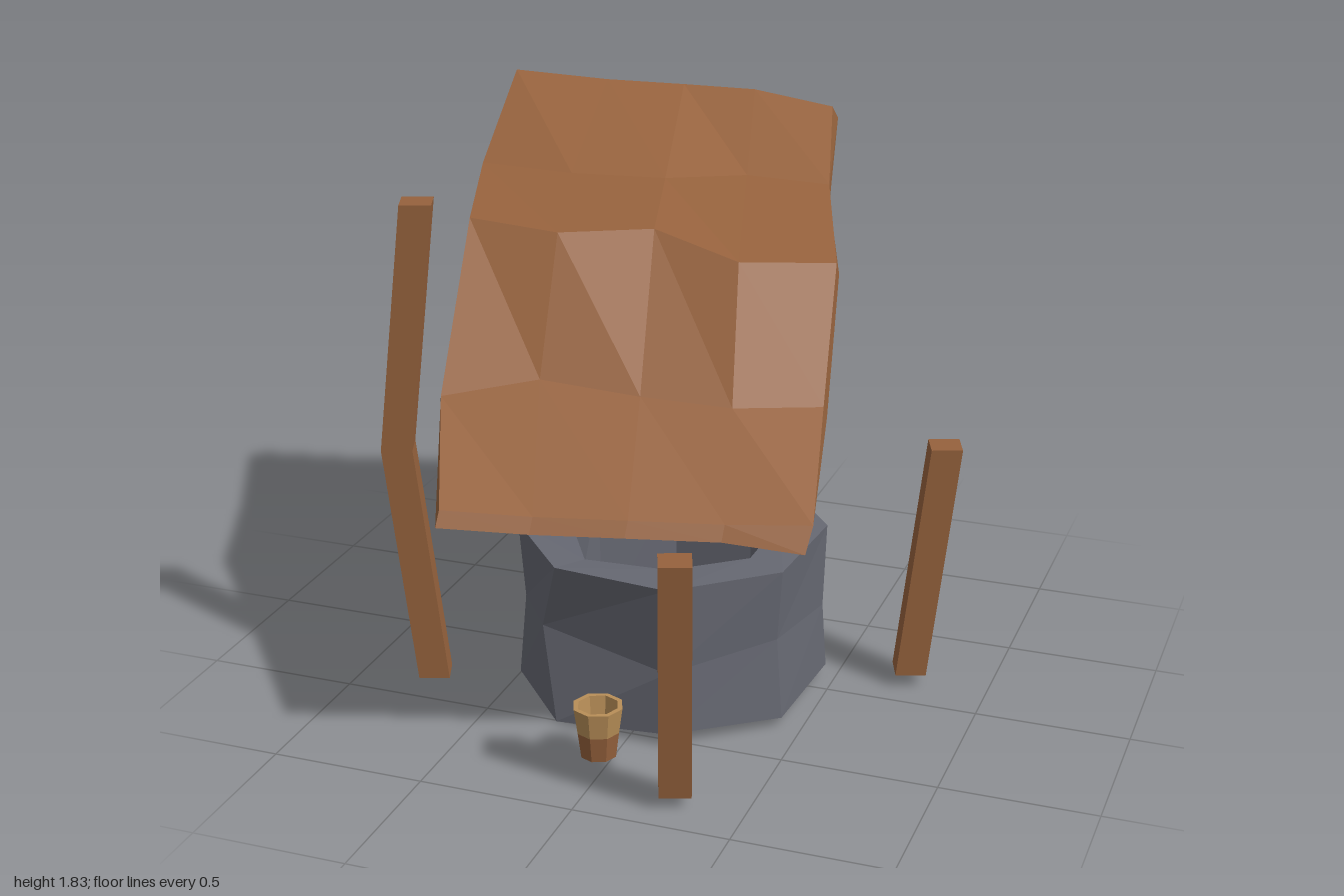
import * as THREE from 'three';

const wood = new THREE.MeshStandardMaterial({ color: 0x96623d });
wood.name = 'wood';
const paleWood = new THREE.MeshStandardMaterial({ color: 0xb98f58 });
paleWood.name = 'paleWood';
const stone = new THREE.MeshStandardMaterial({ color: 0x666872 });
stone.name = 'stone';

// Faceted copy of a geometry
function faceted(geo) {
  const g = geo.index ? geo.toNonIndexed() : geo;
  g.computeVertexNormals();
  return g;
}

function fromTriangles(points) {
  const g = new THREE.BufferGeometry();
  g.setAttribute('position', new THREE.Float32BufferAttribute(points.flat(), 3));
  return faceted(g);
}

function addMesh(parent, name, geo, material) {
  const m = new THREE.Mesh(geo, material);
  m.name = name;
  parent.add(m);
  return m;
}

// Square post leaning outward; a tall one bends back in above the middle
function postGeometry(tall) {
  const height = tall ? 1.615 : 0.8;
  const g = new THREE.BoxGeometry(0.1, height, 0.1, 1, tall ? 2 : 1, 1);
  g.translate(0.785, height / 2 + 0.04, 0);
  const p = g.attributes.position;
  for (let i = 0; i < p.count; i++) {
    const y = p.getY(i);
    if (y > 0.5 && y < 1.2) p.setX(i, p.getX(i) + 0.09);
  }
  return faceted(g);
}

// Rough eight-sided stone ring with a floor
function wellGeometry() {
  const sides = 8;
  const rings = [[0.51, 0.03], [0.495, 0.29], [0.505, 0.54], [0.37, 0.535], [0.35, 0.06]];
  const footY = [0.045, 0.03, 0.04, 0.04, 0.04, 0.03, 0, 0.005];
  const dent = [0, -0.01, 0, -0.04, 0.01, -0.03, -0.01, -0.02];
  const rimY = [0, 0, 0.005, 0.015, 0.02, 0.01, 0, 0.005];
  const at = (r, i) => {
    const k = i % sides;
    let [radius, y] = rings[r];
    let a = THREE.MathUtils.degToRad(18 + 45 * k);
    if (r === 0) y = footY[k];
    if (r === 1) {
      radius += dent[k];
      y += dent[(k + 3) % sides];
      if (k === 7) a -= 0.25;
      if (k === 3) a += 0.12;
    }
    if (r === 2 || r === 3) y += rimY[(k + r - 2) % sides];
    if (r === 3) radius += dent[(k + 5) % sides];
    return [-0.02 + radius * Math.sin(a), y, 0.06 + radius * Math.cos(a)];
  };
  const tris = [];
  for (let k = 0; k < sides; k++) {
    for (let r = 0; r < rings.length - 1; r++) {
      const a = at(r, k), b = at(r, k + 1), c = at(r + 1, k + 1), d = at(r + 1, k);
      tris.push(a, b, c, a, c, d);
    }
    tris.push([-0.02, 0.03, 0.06], at(0, k + 1), at(0, k));
    tris.push([-0.02, 0.06, 0.06], at(4, k), at(4, k + 1));
  }
  return fromTriangles(tris);
}

// Sagging roof slab: rows run from the high back edge to the low front edge
function roofGeometry() {
  const top = [
    [[-0.86, 1.825, -0.68], [-0.55, 1.8, -0.75], [-0.3, 1.785, -0.83], [-0.06, 1.775, -0.88], [0.21, 1.73, -0.91]],
    [[-0.815, 1.6, -0.28], [-0.5, 1.59, -0.29], [-0.2, 1.58, -0.37], [0.03, 1.57, -0.53], [0.3, 1.55, -0.58]],
    [[-0.65, 1.555, 0.19], [-0.36, 1.53, 0.17], [-0.09, 1.53, 0.03], [0.2, 1.46, 0.06], [0.475, 1.445, -0.08]],
    [[-0.575, 1.11, 0.6], [-0.31, 1.145, 0.45], [0, 1.11, 0.4], [0.28, 1.09, 0.35], [0.53, 1.08, 0.22]],
    [[-0.43, 0.89, 0.94], [-0.17, 0.87, 0.85], [0.1, 0.865, 0.77], [0.37, 0.855, 0.68], [0.62, 0.86, 0.61]],
  ];
  const drop = [[-0.055, -0.07], [-0.06, -0.01], [-0.045, -0.03], [-0.05, -0.04], [-0.045, 0.03]];
  const under = top.map((row, r) => row.map(([x, y, z]) => [x, y + drop[r][0], z + drop[r][1]]));
  under[4][4] = [0.615, 0.79, 0.67];
  const tris = [];
  const quad = (a, b, c, d) => tris.push(a, b, c, a, c, d);
  for (let r = 0; r < 4; r++) {
    for (let c = 0; c < 4; c++) {
      quad(top[r][c], top[r + 1][c], top[r + 1][c + 1], top[r][c + 1]);
      quad(under[r][c], under[r][c + 1], under[r + 1][c + 1], under[r + 1][c]);
    }
  }
  // Edge strip around the slab
  const rim = [];
  for (let i = 0; i < 4; i++) rim.push([i, 0]);
  for (let i = 0; i < 4; i++) rim.push([4, i]);
  for (let i = 4; i > 0; i--) rim.push([i, 4]);
  for (let i = 4; i > 0; i--) rim.push([0, i]);
  rim.forEach(([r, c], i) => {
    const [r2, c2] = rim[(i + 1) % rim.length];
    quad(top[r][c], under[r][c], under[r2][c2], top[r2][c2]);
  });
  return fromTriangles(tris);
}

// Hollow bucket: dark lower half, pale upper half
function makeBucket(x, y, z) {
  const bucket = new THREE.Group();
  bucket.name = 'bucket';
  const lathe = (pts) => faceted(new THREE.LatheGeometry(pts.map((p) => new THREE.Vector2(...p)), 8));
  addMesh(bucket, 'bucketBase', lathe([[0, 0], [0.058, 0], [0.069, 0.085]]), wood);
  addMesh(bucket, 'bucketRim', lathe([[0.069, 0.085], [0.081, 0.17], [0.065, 0.17], [0.05, 0.03], [0, 0.03]]), paleWood);
  bucket.position.set(x, y, z);
  return bucket;
}

export function createModel() {
  const model = new THREE.Group();
  model.name = 'ruinedWell';

  addMesh(model, 'stoneWell', wellGeometry(), stone);
  addMesh(model, 'roof', roofGeometry(), wood);

  // Four posts around the well, two of them broken short
  [[20.5, false], [110.5, true], [200.5, true], [290.5, false]].forEach(([angle, tall]) => {
    const post = addMesh(model, tall ? 'tallPost' : 'brokenPost', postGeometry(tall), wood);
    post.rotation.y = THREE.MathUtils.degToRad(angle);
    post.position.z = 0.115;
  });

  // One bucket on the rim, three on the ground
  [[0.055, 0.55, -0.365], [-0.03, 0.03, 0.705], [-0.14, 0.03, -0.88], [-0.52, 0.03, -0.34]]
    .forEach((p) => model.add(makeBucket(...p)));

  return model;
}
